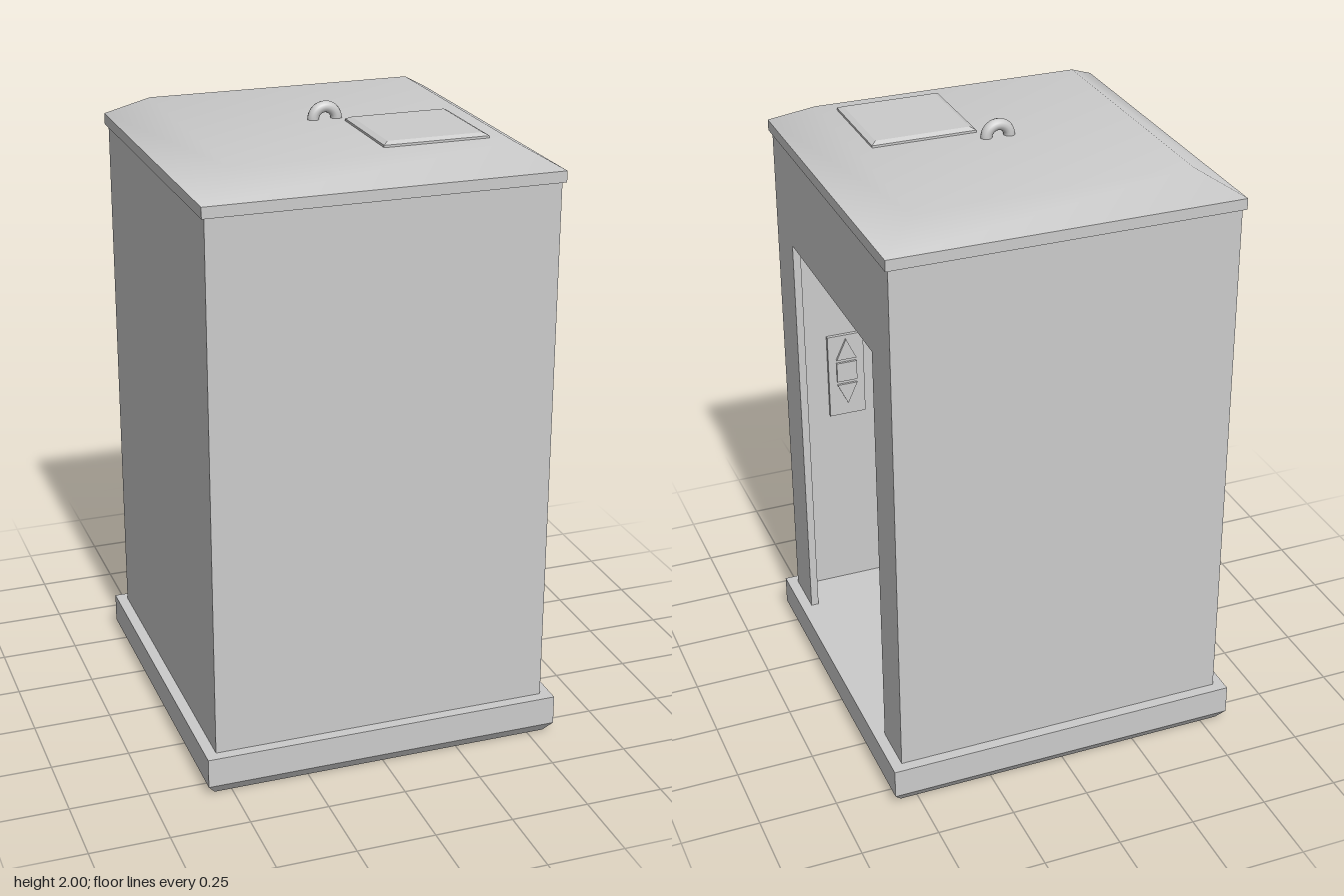
import * as THREE from 'three';

export function createModel() {
  const model = new THREE.Group();
  const flat = new THREE.MeshStandardMaterial({ color: 0xcccccc, flatShading: true });
  const smooth = new THREE.MeshStandardMaterial({ color: 0xcccccc });

  const add = (name, geometry, material = flat, parent = model) => {
    const mesh = new THREE.Mesh(geometry, material);
    mesh.name = name;
    parent.add(mesh);
    return mesh;
  };
  const box = (name, w, h, d, x, y, z, parent = model) =>
    add(name, new THREE.BoxGeometry(w, h, d), flat, parent).position.set(x, y, z);
  // square block whose half width goes from bottom to top
  const block = (name, bottom, top, y0, y1, x = 0, z = 0) => {
    const g = new THREE.CylinderGeometry(top * Math.SQRT2, bottom * Math.SQRT2, y1 - y0, 4);
    g.rotateY(Math.PI / 4);
    add(name, g).position.set(x, (y0 + y1) / 2, z);
  };
  const polygon = (points) => new THREE.Shape(points.map(([x, y]) => new THREE.Vector2(x, y)));

  const floorY = 0.13, eaveY = 1.84, outer = 0.545, thick = 0.025;
  const inner = outer - thick, wallH = eaveY - floorY, midY = (eaveY + floorY) / 2;

  // Base with a chamfered lower edge
  block('baseChamfer', 0.555, 0.58, 0, 0.035);
  block('baseSlab', 0.58, 0.58, 0.035, floorY);

  // Three plain walls
  box('leftOppositeWall', thick, wallH, outer * 2, -outer + thick / 2, midY, 0);
  for (const s of [1, -1]) {
    box(s > 0 ? 'frontWall' : 'backWall', inner * 2, wallH, thick, 0, midY, s * (outer - thick / 2));
  }

  // Wall with the doorway
  const door = 0.385, doorTop = 1.51;
  const doorWall = new THREE.ExtrudeGeometry(polygon([
    [-outer, floorY], [-door, floorY], [-door, doorTop], [door, doorTop],
    [door, floorY], [outer, floorY], [outer, eaveY], [-outer, eaveY],
  ]), { depth: thick, bevelEnabled: false });
  doorWall.rotateY(Math.PI / 2).translate(inner, 0, 0);
  add('doorwayWall', doorWall);

  // Roof slab and softly shaded crown
  block('roofSlab', 0.555, 0.555, eaveY, 1.875);
  const positions = [];
  for (const [half, y] of [[0.555, 1.875], [0.435, 1.945]]) {
    for (const [sx, sz] of [[-1, 1], [1, 1], [1, -1], [-1, -1]]) positions.push(sx * half, y, sz * half);
  }
  const index = [4, 5, 6, 4, 6, 7];
  for (let i = 0; i < 4; i++) {
    const j = (i + 1) % 4;
    index.push(i, j, j + 4, i, j + 4, i + 4);
  }
  const crown = new THREE.BufferGeometry();
  crown.setAttribute('position', new THREE.Float32BufferAttribute(positions, 3));
  crown.setIndex(index);
  crown.computeVertexNormals();
  add('roofCrown', crown, smooth);

  // Roof hatch with bevelled rim
  block('hatchBase', 0.166, 0.166, 1.94, 1.952, 0.215, 0.215);
  block('hatchBevel', 0.166, 0.15, 1.952, 1.96, 0.215, 0.215);

  // Lifting eye
  add('liftingEye', new THREE.TorusGeometry(0.037, 0.018, 12, 24, Math.PI), smooth).position.y = 1.945;

  // Control panel inside, beside the doorway
  const panel = new THREE.Group();
  panel.name = 'controlPanel';
  panel.position.set(0.345, 0.945, inner);
  panel.rotation.y = Math.PI;
  model.add(panel);
  box('panelPlate', 0.125, 0.3, 0.012, 0, 0, 0.006, panel);
  box('middleButton', 0.07, 0.07, 0.01, 0, 0.015, 0.015, panel);
  for (const s of [1, -1]) {
    const arrow = new THREE.ExtrudeGeometry(polygon([[-0.035, 0], [0.035, 0], [0, 0.075]]),
      { depth: 0.008, bevelEnabled: false });
    const button = add(s > 0 ? 'upButton' : 'downButton', arrow, flat, panel);
    button.position.set(0, 0.015 + s * 0.047, 0.012);
    button.rotation.z = s > 0 ? 0 : Math.PI;
  }

  return model;
}
